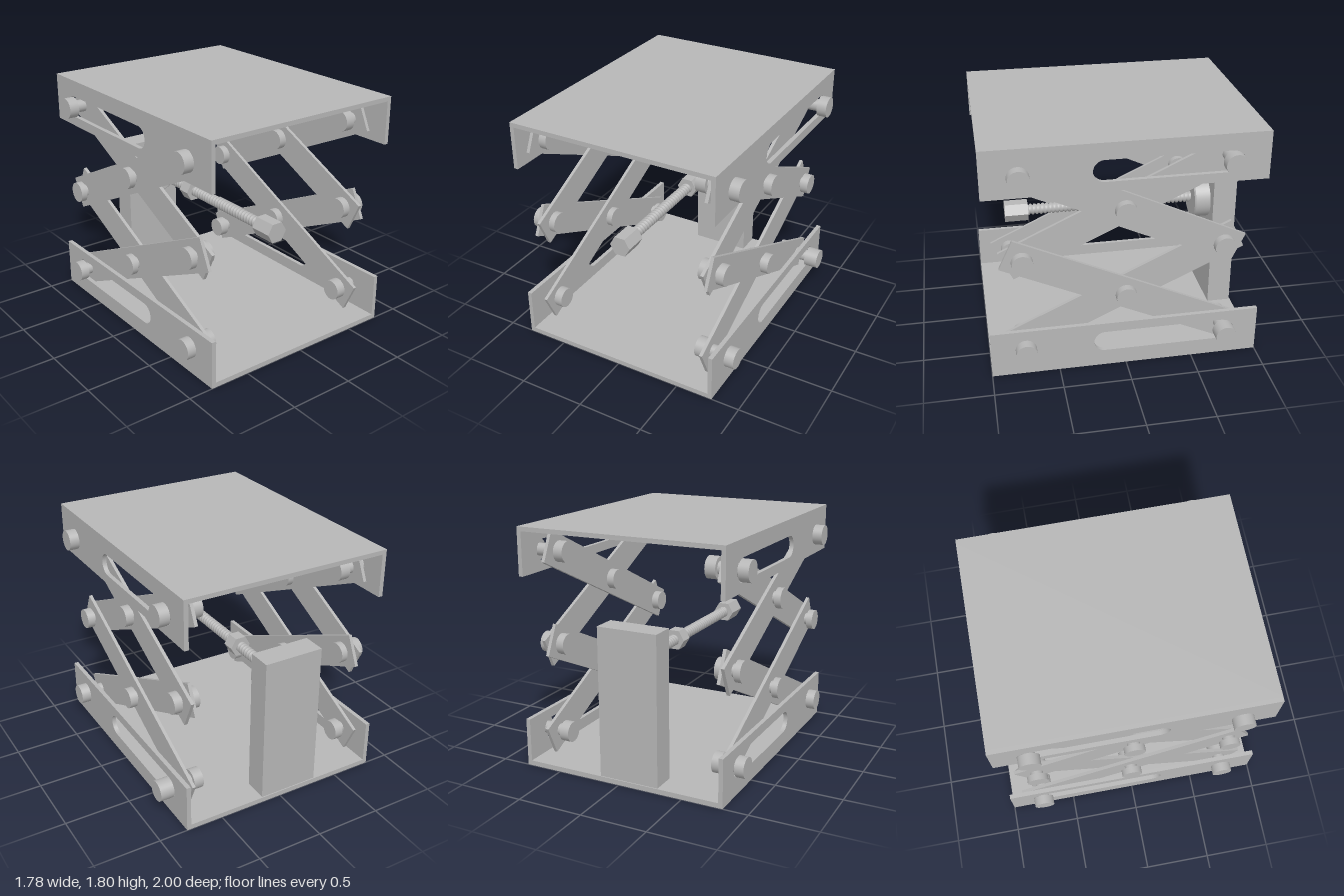
import * as THREE from 'three';

export function createModel() {
  const model = new THREE.Group();
  model.name = 'scissorLift';
  const steel = new THREE.MeshStandardMaterial({ color: 0xb6b6b6 });
  steel.name = 'steel grey';

  const add = (name, geometry, parent = model) => {
    const mesh = new THREE.Mesh(geometry, steel);
    mesh.name = name;
    parent.add(mesh);
    return mesh;
  };
  const box = (name, x0, x1, y0, y1, z0, z1) =>
    add(name, new THREE.BoxGeometry(x1 - x0, y1 - y0, z1 - z0)
      .translate((x0 + x1) / 2, (y0 + y1) / 2, (z0 + z1) / 2));

  // Side flange with a rounded slot, drawn in the z-y plane
  const flange = (name, x0, x1, y0, y1, slotY) => {
    const s = new THREE.Shape();
    s.moveTo(-1, y0).lineTo(1, y0).lineTo(1, y1).lineTo(-1, y1).closePath();
    const r = 0.081, back = -0.82 + r, front = 0.24 - r;
    const slot = new THREE.Path();
    slot.absarc(front, slotY, r, -Math.PI / 2, Math.PI / 2, false);
    slot.absarc(back, slotY, r, Math.PI / 2, Math.PI * 1.5, false);
    slot.closePath();
    s.holes.push(slot);
    const g = new THREE.ExtrudeGeometry(s, { depth: x1 - x0, bevelEnabled: false, curveSegments: 16 });
    add(name, g.rotateY(-Math.PI / 2).translate(x1, 0, 0));
  };

  // Base and platform channels
  const L = -0.812, R = 0.785, T = 0.033;
  box('basePlate', L + T, R - T, 0, 0.037, -1, 1);
  box('platformPlate', L + T, R - T, 1.77, 1.803, -1, 1);
  for (const [side, x0] of [['right', L], ['left', R - T]]) {
    flange(side + 'BaseFlange', x0, x0 + T, 0, 0.365, 0.21);
    flange(side + 'PlatformFlange', x0, x0 + T, 1.445, 1.803, 1.597);
  }

  // Scissor arms: [z, y] pivots
  const P = {
    topFront: [0.743, 1.597], topBack: [-0.74, 1.597], topCross: [-0.003, 1.245],
    midFront: [0.738, 0.9], midBack: [-0.733, 0.9], lowCross: [-0.011, 0.55],
    lowFront: [0.743, 0.21], lowBack: [-0.74, 0.21],
  };
  const arm = (name, a, b, x) => {
    const dz = b[0] - a[0], dy = b[1] - a[1];
    const m = add(name, new THREE.BoxGeometry(0.025, 0.243, Math.hypot(dz, dy) + 0.25));
    m.position.set(x, (a[1] + b[1]) / 2, (a[0] + b[0]) / 2);
    m.rotation.x = -Math.atan2(dy, dz);
  };
  for (const [side, outer, inner] of [['right', -0.752, -0.723], ['left', 0.672, 0.643]]) {
    arm(side + 'UpperOuterArm', P.midBack, P.topFront, outer);
    arm(side + 'UpperInnerArm', P.topBack, P.midFront, inner);
    arm(side + 'LowerOuterArm', P.lowBack, P.midFront, outer);
    arm(side + 'LowerInnerArm', P.midBack, P.lowFront, inner);
  }

  // Pivot pins: a shaft between two round heads, given by their x limits
  const rod = (name, x0, x1, r, parent) =>
    add(name, new THREE.CylinderGeometry(r, r, x1 - x0, 32)
      .rotateZ(Math.PI / 2).translate((x0 + x1) / 2, 0, 0), parent);
  const pin = (name, [z, y], a, b, c, d) => {
    const g = new THREE.Group();
    g.name = name;
    g.position.set(0, y, z);
    model.add(g);
    rod('pinHead', a, b, 0.078, g);
    rod('pinShaft', b, c, 0.047, g);
    rod('pinHead', c, d, 0.078, g);
  };
  pin('leftTopFrontPin', P.topFront, 0.54, 0.615, 0.785, 0.86);
  pin('leftTopBackPin', P.topBack, 0.54, 0.615, 0.785, 0.86);
  pin('leftLowFrontPin', P.lowFront, 0.545, 0.62, 0.785, 0.86);
  pin('leftLowBackPin', P.lowBack, 0.545, 0.62, 0.785, 0.89);
  pin('rightTopFrontPin', P.topFront, -0.89, -0.815, -0.72, -0.66);
  pin('rightTopBackPin', P.topBack, -0.89, -0.815, -0.655, -0.577);
  pin('rightLowFrontPin', P.lowFront, -0.883, -0.815, -0.705, -0.64);
  pin('rightLowBackPin', P.lowBack, -0.883, -0.815, -0.705, -0.64);
  for (const key of ['topCross', 'midFront', 'midBack', 'lowCross']) {
    pin('left' + key + 'Pin', P[key], 0.565, 0.625, 0.702, 0.762);
    pin('right' + key + 'Pin', P[key], -0.84, -0.792, -0.70, -0.65);
  }

  // Rear bearing block
  box('bearingBlock', -0.31, 0.153, 0.037, 1.157, -0.992, -0.81);

  // Lead screw, built along z around its own axis
  const screw = new THREE.Group();
  screw.name = 'leadScrew';
  screw.position.set(-0.081, 0.903, 0);
  model.add(screw);

  // Collar with a slightly chamfered front rim
  const rim = [[0, -0.81], [0.165, -0.81], [0.165, -0.695], [0.155, -0.685], [0, -0.685]];
  const collar = [];
  for (let i = 0; i < rim.length - 1; i++) {
    collar.push(new THREE.LatheGeometry([new THREE.Vector2(...rim[i]), new THREE.Vector2(...rim[i + 1])], 48));
  }
  collar.forEach((g) => add('collar', g.rotateX(Math.PI / 2), screw));

  // Thread: ridged lathe sheared by one pitch per turn into a helix
  const pitch = 0.032, profile = [];
  for (let z = -0.75; z < 0.64; z += pitch) {
    profile.push(new THREE.Vector2(0.032, z), new THREE.Vector2(0.043, z + pitch * 0.3),
      new THREE.Vector2(0.043, z + pitch * 0.65));
  }
  const turns = 24;
  const thread = new THREE.LatheGeometry(profile, turns);
  const pos = thread.attributes.position;
  for (let i = 0; i < pos.count; i++) {
    const turn = Math.floor(i / profile.length) / turns;
    pos.setY(i, pos.getY(i) + pitch * turn);
  }
  thread.computeVertexNormals();
  add('thread', thread.rotateX(Math.PI / 2), screw);

  // Hexagonal nut and drive head, corners pointing sideways
  const hex = (name, z0, z1) => {
    const g = new THREE.CylinderGeometry(0.083, 0.083, z1 - z0, 6).toNonIndexed();
    g.computeVertexNormals();
    add(name, g.rotateY(Math.PI / 6).rotateX(Math.PI / 2).translate(0, 0, (z0 + z1) / 2), screw);
  };
  hex('hexNut', -0.29, -0.19);
  hex('hexDriveHead', 0.62, 0.8);

  return model;
}
